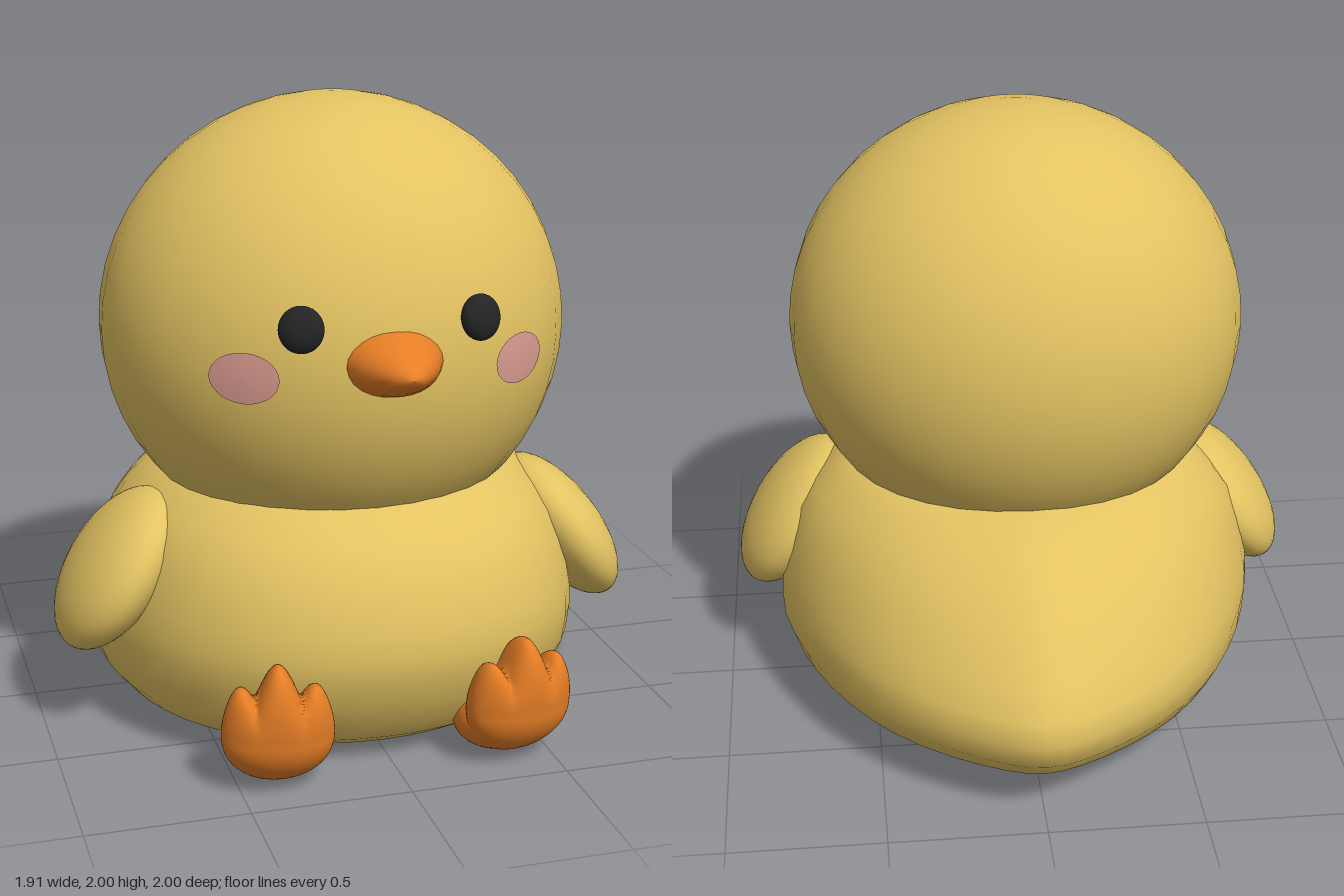
import * as THREE from 'three';

const mat = (name, color) => Object.assign(new THREE.MeshStandardMaterial({ color }), { name });

function part(parent, name, geometry, material, pos = [0, 0, 0], scale = [1, 1, 1], rot = [0, 0, 0]) {
  const m = new THREE.Mesh(geometry, material);
  m.name = name;
  m.position.set(...pos);
  m.scale.set(...scale);
  m.rotation.set(...rot);
  parent.add(m);
  return m;
}

// Body: horizontal loops [y, half width, front reach, tail reach]
const BODY_ROWS = [
  [0.005, 0, 0, 0], [0.005, 0.3, 0.4, 0.3], [0.012, 0.5, 0.62, 0.45], [0.035, 0.64, 0.7, 0.65],
  [0.08, 0.725, 0.77, 0.77], [0.14, 0.775, 0.82, 0.88], [0.23, 0.805, 0.87, 0.97],
  [0.32, 0.81, 0.9, 1.0], [0.39, 0.805, 0.91, 0.975], [0.47, 0.79, 0.9, 0.925],
  [0.56, 0.765, 0.875, 0.85], [0.65, 0.73, 0.83, 0.77], [0.72, 0.68, 0.77, 0.68],
  [0.78, 0.62, 0.69, 0.6], [0.825, 0.56, 0.62, 0.5], [0.86, 0.45, 0.52, 0.36], [0.88, 0, 0, 0],
];

function bodyGeometry(n = 48) {
  const pos = [], index = [];
  BODY_ROWS.forEach(([y, w, front, back], r) => {
    for (let i = 0; i < n; i++) {
      const a = (i / n) * Math.PI * 2, s = Math.sin(a);
      // the back narrows towards the tail tip, the front is slightly full
      const pinch = s < 0 ? 1 + 0.22 * s - 0.25 * s ** 8 : 1;
      const full = s > 0 ? 1 + 0.03 * Math.sin(2 * a) ** 2 : 1;
      pos.push(w * Math.cos(a) * pinch * full, y, s * full * (s < 0 ? back : front));
      if (r < BODY_ROWS.length - 1) {
        const p = r * n + i, q = r * n + (i + 1) % n;
        index.push(p, p + n, q, q, p + n, q + n);
      }
    }
  });
  const g = new THREE.BufferGeometry();
  g.setAttribute('position', new THREE.Float32BufferAttribute(pos, 3));
  g.setIndex(index);
  g.computeVertexNormals();
  return g;
}

// Round disc laid on the head ellipsoid
function cheekGeometry(cx, cy, rx, ry, head) {
  const g = new THREE.RingGeometry(0, 1, 28, 4);
  const p = g.attributes.position;
  for (let i = 0; i < p.count; i++) {
    const x = cx + p.getX(i) * rx, y = cy + p.getY(i) * ry;
    const z = head.z * Math.sqrt(1 - (x / head.x) ** 2 - (y / head.y) ** 2);
    p.setXYZ(i, x * 1.007, y * 1.007, z * 1.007);
  }
  g.computeVertexNormals();
  return g;
}

// Webbed foot: a ball whose upper half is drawn up into three toes
function footGeometry() {
  const g = new THREE.SphereGeometry(1, 64, 40);
  const p = g.attributes.position;
  for (let i = 0; i < p.count; i++) {
    const x = p.getX(i), y = p.getY(i), z = p.getZ(i);
    const up = Math.max(y, 0), down = Math.max(-y, 0);
    const toe = Math.abs(Math.cos(Math.PI * x / 0.8));
    const height = y > 0 ? 0.125 + 0.105 * toe : 0.17;
    const depth = z > 0 ? 0.1 + 0.02 * (toe - 0.5) * up : 0.13;
    p.setXYZ(i, x * 0.172, y * height, z * depth + 0.03 * up - 0.05 * down * down);
  }
  g.computeVertexNormals();
  return g;
}

export function createModel() {
  const yellow = mat('yellow down', 0xe3c362);
  const orange = mat('orange skin', 0xe67e26);
  const black = mat('black eye', 0x222426);
  const pink = mat('pink blush', 0xda9c90);

  const model = new THREE.Group();
  model.name = 'chick';
  const ball = new THREE.SphereGeometry(1, 32, 24);

  part(model, 'body', bodyGeometry(), yellow);

  // Head with face
  const head = new THREE.Group();
  head.name = 'head';
  head.position.set(-0.01, 1.27, 0.127);
  model.add(head);
  const size = new THREE.Vector3(0.75, 0.73, 0.704);
  part(head, 'skull', ball, yellow, [0, 0, 0], size.toArray());

  const beak = new THREE.LatheGeometry(
    [[0.9, -0.1], [1, 0], [0.95, 0.04], [0.77, 0.1], [0.5, 0.165], [0.23, 0.21], [0, 0.225]]
      .map(([r, y]) => new THREE.Vector2(r, y)), 24);
  part(head, 'beak', beak, orange, [0, 0.025, 0.648], [0.156, 1, 0.106], [Math.PI / 2, 0, 0]);

  const footShape = footGeometry();
  for (const s of [1, -1]) {
    const side = s > 0 ? 'left' : 'right';

    // Eye bulges out along the head surface normal
    const ex = 0.275 * s, ey = 0.14;
    const ez = size.z * Math.sqrt(1 - (ex / size.x) ** 2 - (ey / size.y) ** 2);
    const eye = part(head, side + 'Eye', ball, black, [ex, ey, ez + 0.012], [0.068, 0.07, 0.04]);
    const normal = new THREE.Vector3(ex / size.x ** 2, ey / size.y ** 2, ez / size.z ** 2).normalize();
    eye.quaternion.setFromUnitVectors(new THREE.Vector3(0, 0, 1), normal);

    part(head, side + 'Cheek', cheekGeometry(0.425 * s, -0.015, 0.092, 0.078, size), pink);

    // Wing hangs down and outward
    part(model, side + 'Wing', ball, yellow, [0.757 * s, 0.52, 0.23], [0.135, 0.287, 0.28], [0, 0, 0.61 * s]);

    // Foot faces forward with toes up, ankle runs back into the body
    const foot = new THREE.Group();
    foot.name = side + 'Foot';
    foot.position.set(0.385 * s, 0, 0.87);
    foot.rotation.y = 0.15 * s;
    model.add(foot);
    part(foot, 'webbedToes', footShape, orange, [0, 0.19, 0]);
    part(foot, 'ankle', ball, orange, [-0.03 * s, 0.125, -0.075], [0.14, 0.105, 0.15], [-0.3, 0, 0]);
  }
  return model;
}
